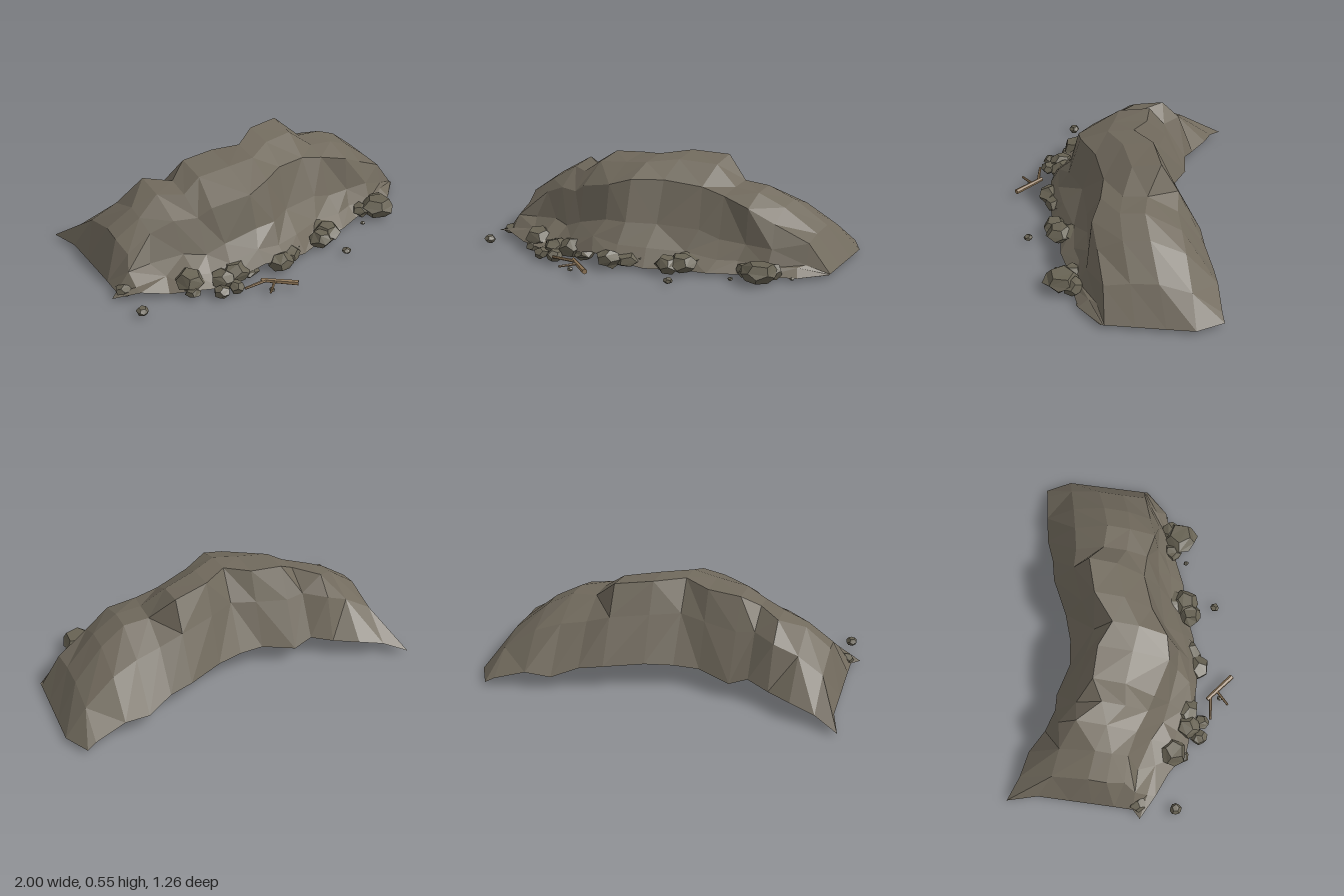
import * as THREE from 'three';

// repeatable value in -1..1
const noise = (a, b, c) => {
  const s = Math.sin(a * 12.99 + b * 78.23 + c * 37.72) * 43758.55;
  return (s - Math.floor(s)) * 2 - 1;
};
const lerp = THREE.MathUtils.lerp;

// x, front base z, rim z, rim y, ridge z, ridge y, back edge z, back edge y
const SECTIONS = [
  [-1.0, 0.2, 0.05, 0.025, -0.2, 0.025, -0.545, 0.02],
  [-0.87, 0.27, 0.1, 0.17, -0.1, 0.25, -0.49, 0.07],
  [-0.73, 0.325, 0.1, 0.25, -0.08, 0.345, -0.46, 0.1],
  [-0.6, 0.41, 0.13, 0.32, -0.2, 0.43, -0.39, 0.1],
  [-0.48, 0.42, 0.18, 0.32, -0.08, 0.435, -0.35, 0.13],
  [-0.38, 0.42, 0.21, 0.385, -0.14, 0.505, -0.36, 0.09],
  [-0.2, 0.42, 0.24, 0.43, -0.14, 0.52, -0.31, 0.12],
  [-0.06, 0.41, 0.21, 0.45, -0.08, 0.54, -0.33, 0.13],
  [0.09, 0.37, 0.13, 0.45, -0.2, 0.555, -0.38, 0.14],
  [0.29, 0.29, 0.05, 0.41, -0.26, 0.54, -0.48, 0.145],
  [0.42, 0.27, 0.06, 0.38, -0.2, 0.42, -0.51, 0.13],
  [0.56, 0.21, 0.06, 0.35, -0.2, 0.41, -0.565, 0.08],
  [0.7, 0.17, 0.04, 0.28, -0.24, 0.34, -0.59, 0.1],
  [0.87, 0.11, -0.01, 0.16, -0.3, 0.2, -0.62, 0.05],
  [0.995, -0.02, -0.04, 0.02, -0.35, 0.02, -0.635, 0.025],
];

// One cross-section: base, foot, face, rim, crown, ridge, brow, back edge
function section([x, baseZ, rimZ, rimY, ridgeZ, ridgeY, backZ, backY], i) {
  const end = i === 0 || i === SECTIONS.length - 1;
  const baseY = end || i > 7 ? 0.02 : i === 6 ? 0.08 : i % 2 ? 0.05 : 0.025;
  const [browZ, browDrop] = ridgeY > 0.45 ? [0.42, 0.4] : [0.52, 0.28];
  const points = [
    [x, baseY, baseZ],
    [x, lerp(baseY, rimY, 0.2), lerp(baseZ, rimZ, 0.3)],
    [x, lerp(baseY, rimY, 0.44), lerp(baseZ, rimZ, 0.68)],
    [x, rimY, rimZ],
    [x, lerp(rimY, ridgeY, 0.8), lerp(rimZ, ridgeZ, 0.5)],
    [x, ridgeY, ridgeZ],
    [x, lerp(ridgeY, backY, browDrop), lerp(ridgeZ, backZ, browZ)],
    [x, backY, backZ],
  ];
  points.forEach((p, r) => {
    if (end) {
      if (i === 0 && r > 0 && r < 7) p[0] = -0.955;
      if (i > 0 && r === 7) p[0] = 0.92;
    } else if (r > 0 && r < 4) {
      p[0] += noise(i, r, 1) * 0.025;
      p[1] += noise(i, r, 2) * 0.018;
      p[2] += noise(i, r, 3) * 0.018;
    }
  });
  return points;
}

// Faceted open shell lofted through the cross-sections
function cliffGeometry() {
  const grid = SECTIONS.map(section);
  const positions = [];
  for (let i = 0; i < grid.length - 1; i++) {
    for (let r = 0; r < grid[i].length - 1; r++) {
      const a = grid[i][r], b = grid[i + 1][r];
      const c = grid[i + 1][r + 1], d = grid[i][r + 1];
      const quad = noise(i, r, 5) > 0 ? [a, b, c, a, c, d] : [a, b, d, b, c, d];
      positions.push(...quad.flat());
    }
  }
  const geometry = new THREE.BufferGeometry();
  geometry.setAttribute('position', new THREE.Float32BufferAttribute(positions, 3));
  geometry.computeVertexNormals();
  return geometry;
}

// Irregular faceted boulder
function rockGeometry(radius, height, seed) {
  const geometry = new THREE.DodecahedronGeometry(1, 0);
  geometry.rotateX(seed * 1.3).rotateY(seed * 2.1);
  const p = geometry.attributes.position;
  for (let i = 0; i < p.count; i++) {
    const key = [p.getX(i), p.getY(i), p.getZ(i)].map((v) => Math.round(v * 50));
    const k = 1 + 0.1 * noise(key[0] + seed, key[1], key[2]);
    p.setXYZ(i, p.getX(i) * k * radius, p.getY(i) * k * height / 2, p.getZ(i) * k * radius);
  }
  geometry.computeVertexNormals();
  return geometry;
}

// Tapered stick between two points
function stick(name, from, to, radius, material) {
  const a = new THREE.Vector3(...from), b = new THREE.Vector3(...to);
  const dir = b.clone().sub(a);
  const geometry = new THREE.CylinderGeometry(radius * 0.8, radius, dir.length(), 6).toNonIndexed();
  geometry.computeVertexNormals();
  const mesh = new THREE.Mesh(geometry, material);
  mesh.name = name;
  mesh.position.copy(a).add(b).multiplyScalar(0.5);
  mesh.quaternion.setFromUnitVectors(new THREE.Vector3(0, 1, 0), dir.normalize());
  return mesh;
}

export function createModel() {
  const model = new THREE.Group();
  model.name = 'rockyOutcrop';

  const cliffStone = new THREE.MeshStandardMaterial({ color: 0x716a5d, side: THREE.DoubleSide });
  cliffStone.name = 'cliffStone';
  const looseStone = new THREE.MeshStandardMaterial({ color: 0x676253 });
  looseStone.name = 'looseStone';
  const deadWood = new THREE.MeshStandardMaterial({ color: 0x8f7657 });
  deadWood.name = 'deadWood';

  const cliff = new THREE.Mesh(cliffGeometry(), cliffStone);
  cliff.name = 'cliff';
  model.add(cliff);

  // Boulders along the foot: x, z, radius, height
  const rocks = new THREE.Group();
  rocks.name = 'boulders';
  [
    [-0.92, 0.18, 0.05, 0.06], [-0.92, 0.39, 0.033, 0.05],
    [-0.61, 0.33, 0.085, 0.13], [-0.62, 0.38, 0.045, 0.06], [-0.55, 0.28, 0.07, 0.1],
    [-0.5, 0.47, 0.047, 0.07], [-0.41, 0.47, 0.045, 0.07],
    [-0.45, 0.4, 0.07, 0.11], [-0.36, 0.37, 0.08, 0.12], [-0.28, 0.37, 0.06, 0.08],
    [-0.1, 0.41, 0.07, 0.1], [-0.02, 0.35, 0.08, 0.09], [0.03, 0.29, 0.07, 0.09],
    [0.22, 0.33, 0.07, 0.1], [0.29, 0.29, 0.08, 0.11], [0.27, 0.21, 0.09, 0.1],
    [0.3, 0.47, 0.026, 0.035], [0.56, 0.27, 0.015, 0.02],
    [0.7, 0.22, 0.1, 0.11], [0.61, 0.18, 0.055, 0.08], [0.74, 0.15, 0.06, 0.09],
    [0.84, 0.11, 0.015, 0.02], [-0.25, 0.56, 0.016, 0.025],
  ].forEach(([x, z, radius, height], i) => {
    const rock = new THREE.Mesh(rockGeometry(radius, height, i + 1), looseStone);
    rock.name = 'boulder' + (i + 1);
    rock.position.set(x, 0.005 + height / 2, z);
    rocks.add(rock);
  });
  model.add(rocks);

  // Fallen branch with two twigs
  const branch = new THREE.Group();
  branch.name = 'fallenBranch';
  branch.add(
    stick('mainStem', [-0.12, 0.043, 0.615], [-0.275, 0.045, 0.49], 0.015, deadWood),
    stick('sideTwig', [-0.25, 0.045, 0.508], [-0.39, 0.05, 0.52], 0.009, deadWood),
    stick('frontTwig', [-0.22, 0.045, 0.54], [-0.29, 0.04, 0.61], 0.008, deadWood),
  );
  model.add(branch);

  return model;
}
